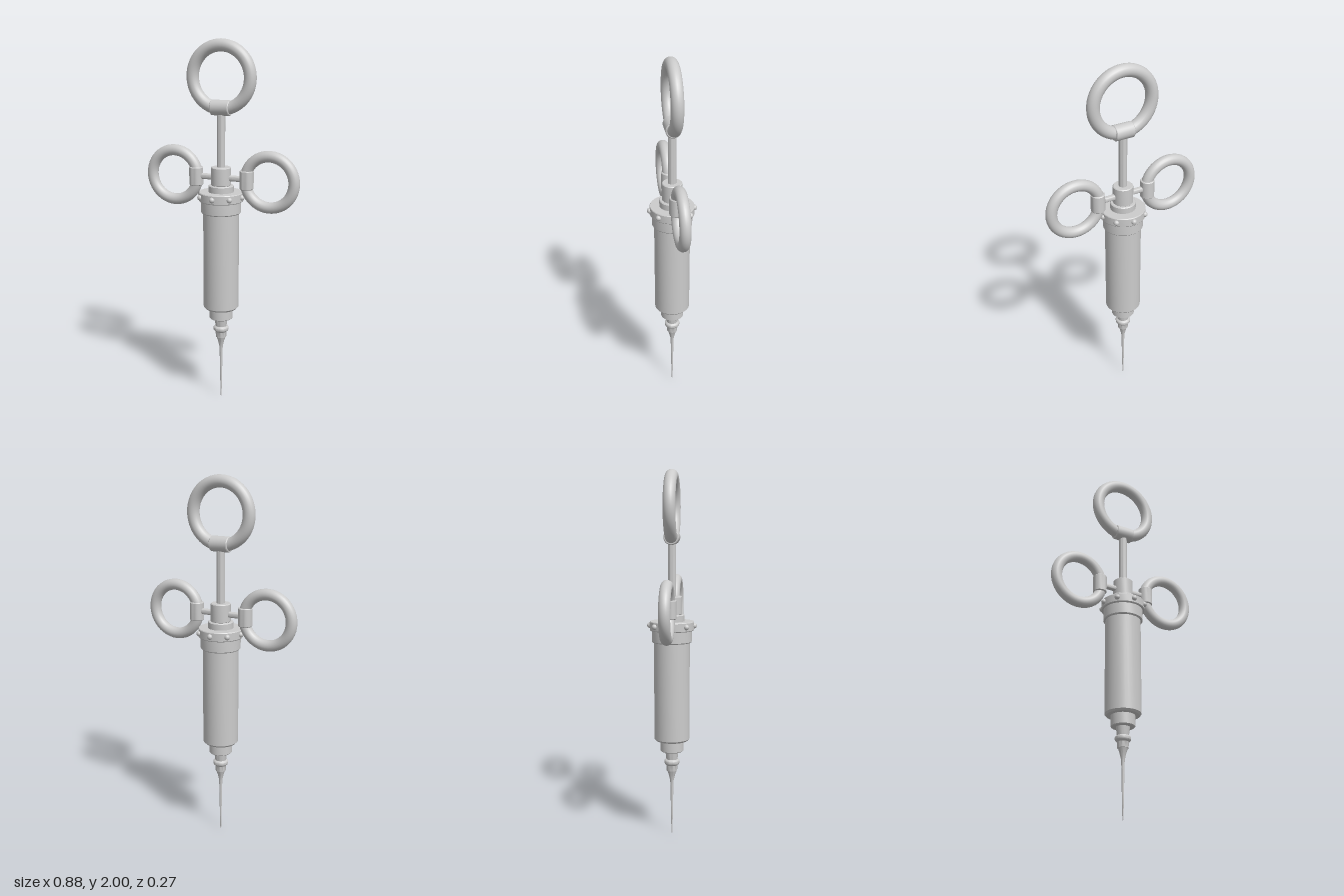
import * as THREE from 'three';
import { toCreasedNormals } from 'three/addons/utils/BufferGeometryUtils.js';

const material = new THREE.MeshStandardMaterial({ color: 0xcccccc });

export function createModel() {
  const model = new THREE.Group();
  model.name = 'ringSyringe';

  const add = (name, geometry, parent = model) => {
    const mesh = new THREE.Mesh(geometry, material);
    mesh.name = name;
    parent.add(mesh);
    return mesh;
  };

  // Turned part from [radius, height] pairs, bottom to top
  const turned = (name, points) => {
    const profile = points.map(([r, y]) => new THREE.Vector2(r, y));
    return add(name, toCreasedNormals(new THREE.LatheGeometry(profile, 32), 0.6));
  };

  // Rod or sleeve with softened rims, centred on its own origin
  const sleeve = (r, length, bevel = 0.004) => {
    const h = length / 2;
    const profile = [[0, -h], [r - bevel, -h], [r, bevel - h], [r, h - bevel], [r - bevel, h], [0, h]];
    return toCreasedNormals(
      new THREE.LatheGeometry(profile.map(([x, y]) => new THREE.Vector2(x, y)), 24), 0.6);
  };

  // Needle and its hub
  turned('needle', [[0, 0], [0.003, 0.01], [0.006, 0.15], [0.008, 0.27], [0.01, 0.31],
    [0.018, 0.345], [0.027, 0.37], [0, 0.37]]);
  turned('needleHub', [[0, 0.368], [0.029, 0.368], [0.031, 0.4], [0.038, 0.406], [0.042, 0.412],
    [0.042, 0.425], [0.038, 0.431], [0.031, 0.434], [0.037, 0.482], [0, 0.482]]);

  // Barrel with its nozzle seat
  turned('nozzleSeat', [[0, 0.48], [0.06, 0.48], [0.064, 0.484], [0.064, 0.55], [0, 0.55]]);
  turned('barrel', [[0, 0.542], [0.088, 0.542], [0.097, 0.552], [0.097, 1.09], [0, 1.09]]);

  // Stepped cap
  turned('barrelCollar', [[0, 1.085], [0.104, 1.085], [0.108, 1.09], [0.108, 1.15], [0, 1.15]]);
  turned('cap', [[0, 1.15], [0.117, 1.15], [0.12, 1.154], [0.12, 1.196], [0.117, 1.2], [0, 1.2]]);
  turned('capNeck', [[0, 1.2], [0.068, 1.2], [0.068, 1.232], [0.064, 1.236], [0, 1.236]]);

  // Rivets around the cap
  for (let i = 0; i < 8; i++) {
    const a = (i * Math.PI) / 4;
    add('capRivet', new THREE.SphereGeometry(0.015, 14, 10))
      .position.set(Math.sin(a) * 0.12, 1.176, Math.cos(a) * 0.12);
  }

  // Hub and plunger rod
  add('hub', sleeve(0.054, 0.1)).position.y = 1.284;
  add('plungerRod', sleeve(0.022, 0.3, 0.001)).position.y = 1.475;

  // Thumb ring
  const thumb = new THREE.Group();
  thumb.name = 'thumbRing';
  model.add(thumb);
  add('thumbLoop', new THREE.TorusGeometry(0.163, 0.033, 20, 56), thumb).position.y = 1.804;
  const thumbSleeve = add('thumbSleeve', sleeve(0.041, 0.106), thumb);
  thumbSleeve.position.y = 1.647;
  thumbSleeve.rotation.z = Math.PI / 2;

  // Finger rings on short arms, mirrored
  for (const [side, label] of [[1, 'left'], [-1, 'right']]) {
    const finger = new THREE.Group();
    finger.name = label + 'FingerRing';
    model.add(finger);
    add('fingerLoop', new THREE.TorusGeometry(0.136, 0.03, 20, 48), finger)
      .position.set(side * 0.275, 1.272, 0);
    add('fingerSleeve', sleeve(0.038, 0.1), finger).position.set(side * 0.147, 1.275, 0);
    const arm = add('fingerArm', sleeve(0.016, 0.11, 0.001), finger);
    arm.position.set(side * 0.08, 1.277, 0);
    arm.rotation.z = Math.PI / 2;
  }

  return model;
}
